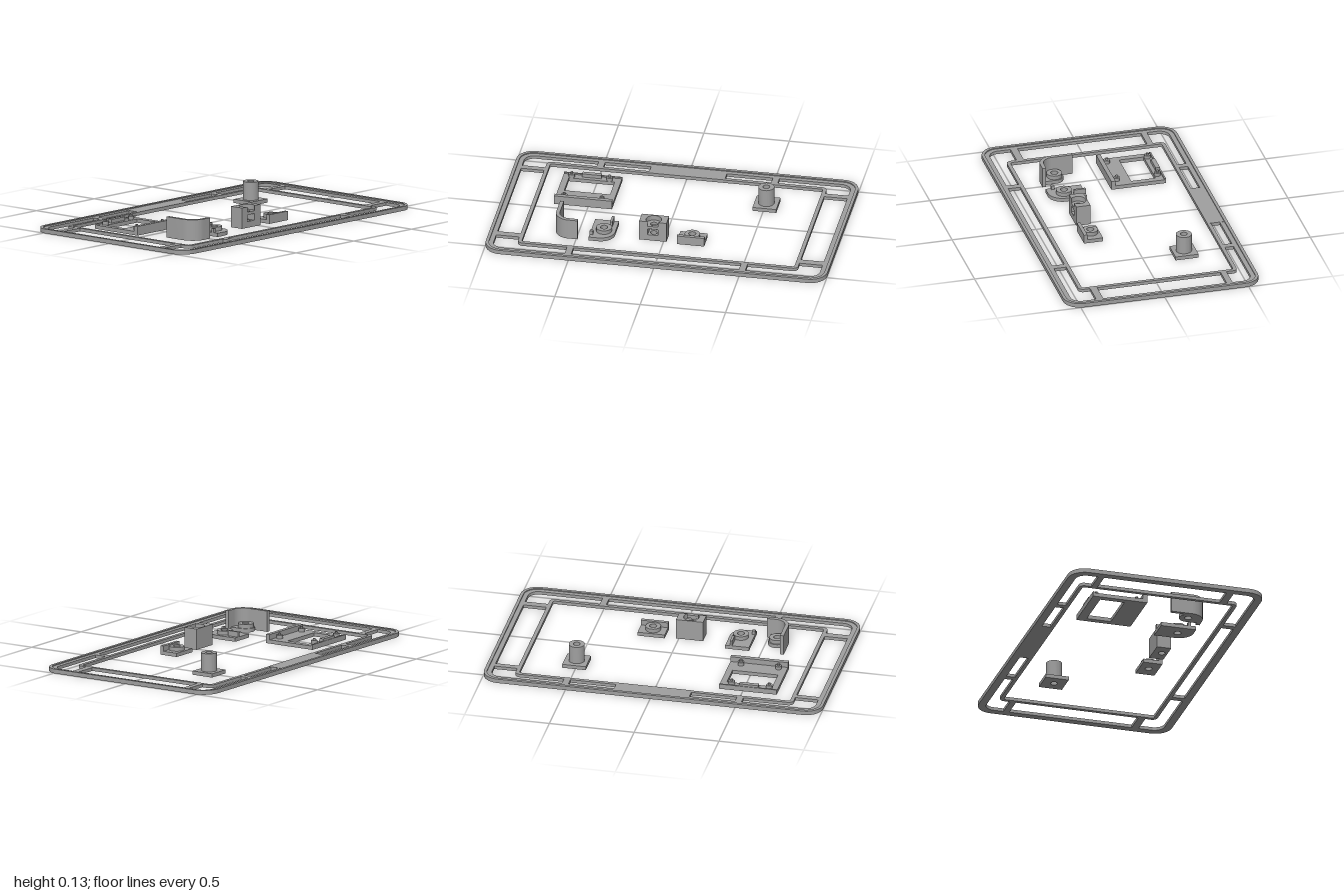
import * as THREE from 'three';
import { toCreasedNormals } from 'three/addons/utils/BufferGeometryUtils.js';

export function createModel() {
  const model = new THREE.Group();
  model.name = 'partsSprue';
  const grey = new THREE.MeshStandardMaterial({ color: 0xa0a0a0 });
  grey.name = 'grey plastic';

  const group = (name) => {
    const g = new THREE.Group();
    g.name = name;
    model.add(g);
    return g;
  };
  // Plan outline in (x, z), raised from y0 to y1
  const slab = (parent, name, shape, y0, y1) => {
    let geo = new THREE.ExtrudeGeometry(shape, { depth: y1 - y0, bevelEnabled: false, curveSegments: 20 });
    geo.rotateX(Math.PI / 2).translate(0, y1, 0);
    geo = toCreasedNormals(geo, 0.5);
    const m = new THREE.Mesh(geo, grey);
    m.name = name;
    parent.add(m);
    return m;
  };
  const rect = (x0, x1, z0, z1, r = 0, C = THREE.Shape) => {
    const s = new C();
    if (!r) {
      s.moveTo(x0, z0); s.lineTo(x1, z0); s.lineTo(x1, z1); s.lineTo(x0, z1); s.closePath();
      return s;
    }
    s.moveTo(x0 + r, z0);
    s.lineTo(x1 - r, z0); s.absarc(x1 - r, z0 + r, r, -Math.PI / 2, 0, false);
    s.lineTo(x1, z1 - r); s.absarc(x1 - r, z1 - r, r, 0, Math.PI / 2, false);
    s.lineTo(x0 + r, z1); s.absarc(x0 + r, z1 - r, r, Math.PI / 2, Math.PI, false);
    s.lineTo(x0, z0 + r); s.absarc(x0 + r, z0 + r, r, Math.PI, Math.PI * 1.5, false);
    return s;
  };
  const circle = (x, z, r, C = THREE.Path) => {
    const c = new C();
    c.absarc(x, z, r, 0, Math.PI * 2, false);
    return c;
  };
  const withHoles = (shape, ...holes) => {
    shape.holes.push(...holes);
    return shape;
  };
  const poly = (pts) => new THREE.Shape(pts.map(([x, z]) => new THREE.Vector2(x, z)));
  const box = (parent, name, x0, x1, z0, z1, y0, y1) => slab(parent, name, rect(x0, x1, z0, z1), y0, y1);
  const boss = (parent, x, z, r, hole, y0, y1) =>
    slab(parent, 'boss', withHoles(circle(x, z, r, THREE.Shape), circle(x, z, hole)), y0, y1);

  // Sprue frame: outer ring with raised lip, inner ring, runners
  const frame = group('frame');
  const H = 0.019, T = 0.025;
  slab(frame, 'outerRing', withHoles(rect(-1, 1, -0.58, 0.58, 0.1), rect(-0.955, 0.955, -0.535, 0.535, 0.06, THREE.Path)), 0, H);
  slab(frame, 'outerLip', withHoles(rect(-1, 1, -0.58, 0.58, 0.1), rect(-0.982, 0.982, -0.562, 0.562, 0.083, THREE.Path)), H, T);
  slab(frame, 'innerRing', withHoles(rect(-0.82, 0.82, -0.483, 0.462, 0.03), rect(-0.798, 0.798, -0.461, 0.44, 0.012, THREE.Path)), 0, H);
  for (const s of [-1, 1]) {
    const [xa, xb] = s < 0 ? [-0.957, -0.818] : [0.818, 0.957];
    box(frame, 'sideRunner', xa, xb, -0.415, -0.38, 0, H);
    box(frame, 'sideRunner', xa, xb, 0.355, 0.397, 0, H);
    box(frame, 'backRunner', s * 0.51 - 0.019, s * 0.51 + 0.019, -0.537, -0.48, 0, H);
    box(frame, 'frontRunner', s * 0.51 - 0.019, s * 0.51 + 0.019, 0.46, 0.537, 0, H);
  }
  box(frame, 'labelPlate', -0.222, 0.222, -0.56, -0.461, 0, H + 0.001);

  // Hollow post on a square foot
  const post = group('post');
  slab(post, 'postFoot', withHoles(rect(0.438, 0.577, -0.315, -0.177), circle(0.507, -0.245, 0.02)), 0, 0.022);
  boss(post, 0.507, -0.245, 0.046, 0.02, 0.022, 0.128);

  // Windowed tray with four pegs
  const tray = group('tray');
  slab(tray, 'trayFloor', withHoles(rect(-0.7, -0.36, -0.37, -0.045), rect(-0.663, -0.395, -0.317, -0.172, 0, THREE.Path)), 0, 0.022);
  box(tray, 'trayFrontWall', -0.7, -0.36, -0.07, -0.045, 0.022, 0.053);
  box(tray, 'trayBackRim', -0.7, -0.36, -0.37, -0.361, 0.022, 0.03);
  box(tray, 'trayBackTab', -0.59, -0.477, -0.366, -0.34, 0.022, 0.043);
  for (const x of [-0.649, -0.428]) {
    for (const z of [-0.336, -0.094]) {
      slab(tray, 'pegBase', circle(x, z, 0.018, THREE.Shape), 0.022, 0.042);
      slab(tray, 'pegTip', circle(x, z, 0.008, THREE.Shape), 0.042, 0.053);
    }
  }

  // Tall hooked bracket
  const hook = group('hookBracket');
  const j = new THREE.Shape();
  j.moveTo(-0.632, 0.12);
  j.lineTo(-0.632, 0.245);
  j.absarc(-0.547, 0.245, 0.085, Math.PI, Math.PI / 2, true);
  j.lineTo(-0.492, 0.33);
  j.lineTo(-0.492, 0.308);
  j.lineTo(-0.547, 0.308);
  j.absarc(-0.547, 0.245, 0.063, Math.PI / 2, Math.PI, false);
  j.lineTo(-0.61, 0.12);
  slab(hook, 'hookWall', j, 0, 0.122);
  const hookFloor = new THREE.Shape();
  hookFloor.moveTo(-0.515, 0.31);
  hookFloor.lineTo(-0.547, 0.31);
  hookFloor.absarc(-0.547, 0.245, 0.065, Math.PI / 2, Math.PI, false);
  hookFloor.absarc(-0.567, 0.24, 0.052, Math.PI, Math.PI * 2, false);
  slab(hook, 'hookFloor', withHoles(hookFloor, circle(-0.567, 0.24, 0.021)), 0, 0.022);
  boss(hook, -0.567, 0.24, 0.045, 0.021, 0.022, 0.045);

  // Rounded cover plate mating with the hook
  const cover = group('coverPlate');
  const d = new THREE.Shape();
  d.moveTo(-0.427, 0.12);
  d.lineTo(-0.287, 0.12);
  d.lineTo(-0.287, 0.245);
  d.absarc(-0.372, 0.245, 0.085, 0, Math.PI / 2, false);
  d.lineTo(-0.427, 0.33);
  d.closePath();
  slab(cover, 'coverFloor', withHoles(d, circle(-0.353, 0.24, 0.021)), 0, 0.022);
  boss(cover, -0.353, 0.24, 0.045, 0.021, 0.022, 0.045);
  box(cover, 'coverRib', -0.328, -0.314, 0.12, 0.19, 0.022, 0.053);
  box(cover, 'coverStud', -0.427, -0.408, 0.282, 0.3, 0.022, 0.045);

  // Block with stacked layers: bored, slotted, bored, notched
  const block = group('slottedBlock');
  const [bx0, bx1, bz0, bz1, cx, cz] = [-0.143, 0.017, 0.18, 0.265, -0.063, 0.232];
  const bored = () => withHoles(rect(bx0, bx1, bz0, bz1), circle(cx, cz, 0.02));
  slab(block, 'blockBase', bored(), 0, 0.036);
  slab(block, 'blockSlot', poly([[bx0, bz0], [bx1, bz0], [bx1, bz1], [cx + 0.03, bz1], [cx + 0.03, 0.2],
    [cx - 0.03, 0.2], [cx - 0.03, bz1], [bx0, bz1]]), 0.036, 0.075);
  slab(block, 'blockShelf', bored(), 0.075, 0.092);
  const notch = new THREE.Shape();
  const a = Math.asin((bz1 - cz) / 0.045);
  notch.moveTo(bx0, bz0);
  notch.lineTo(bx1, bz0);
  notch.lineTo(bx1, bz1);
  notch.absarc(cx, cz, 0.045, a, -Math.PI - a, true);
  notch.lineTo(bx0, bz1);
  slab(block, 'blockTop', notch, 0.092, 0.122);

  // Small flanged plate
  const flange = group('flangePlate');
  slab(flange, 'flangeFloor', withHoles(rect(0.08, 0.24, 0.165, 0.278), circle(0.16, 0.22, 0.021)), 0, 0.022);
  box(flange, 'flangeWall', 0.08, 0.24, 0.257, 0.278, 0.022, 0.053);
  boss(flange, 0.16, 0.22, 0.044, 0.021, 0.022, 0.045);

  return model;
}
